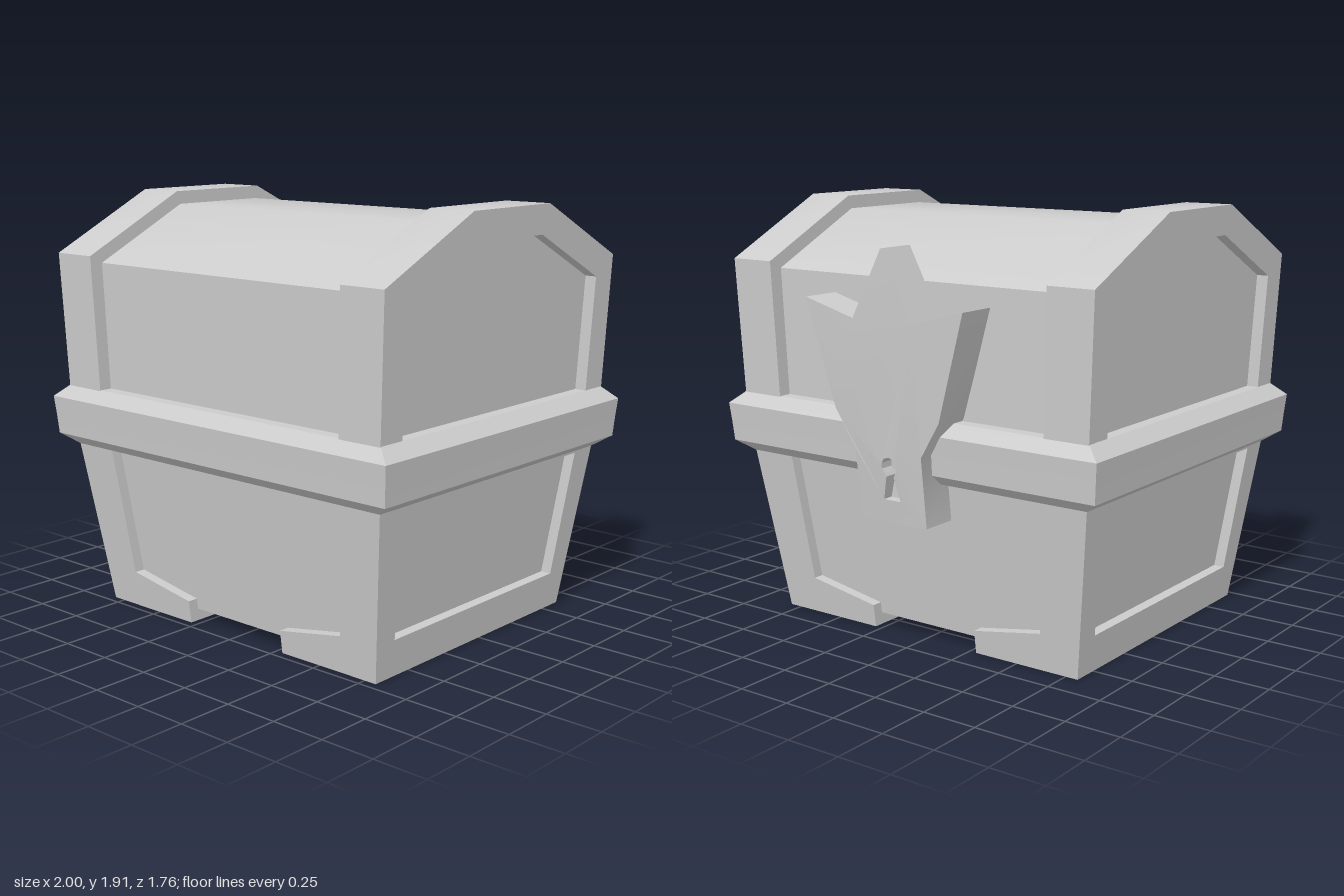
import * as THREE from 'three';
import { toCreasedNormals } from 'three/addons/utils/BufferGeometryUtils.js';

const material = new THREE.MeshStandardMaterial({ color: 0xcccccc });
const CENTRE_Z = 0.045;

function addMesh(parent, name, geometry, turn = 0) {
  const mesh = new THREE.Mesh(toCreasedNormals(geometry, 0.6), material);
  mesh.name = name;
  mesh.rotation.y = turn;
  parent.add(mesh);
  return mesh;
}

// Stack of rectangular sections, each [y, halfWidth, halfDepth].
function stack(sections) {
  const n = sections.length - 1;
  const geo = new THREE.BoxGeometry(2, n, 2, 1, n, 1);
  const p = geo.attributes.position;
  for (let i = 0; i < p.count; i++) {
    const [y, hx, hz] = sections[Math.round(p.getY(i) + n / 2)];
    p.setXYZ(i, p.getX(i) * hx, y, p.getZ(i) * hz);
  }
  return geo;
}

const points = (list) => list.map(([x, y]) => new THREE.Vector2(x, y));
// Completes a right-hand outline with its mirror image.
const mirrored = (half) => [...half, ...half.map(([x, y]) => [-x, y]).reverse()];

// Extruded outline whose inner and outer faces follow functions of height.
function slab(outline, holes, inner, outer) {
  const shape = new THREE.Shape(points(outline));
  holes.forEach((h) => shape.holes.push(new THREE.Path(points(h))));
  const geo = new THREE.ExtrudeGeometry(shape, { depth: 1, bevelEnabled: false });
  const p = geo.attributes.position;
  for (let i = 0; i < p.count; i++) {
    const y = p.getY(i);
    p.setZ(i, p.getZ(i) > 0.5 ? outer(y) : inner(y));
  }
  return geo;
}

function createBase() {
  const base = new THREE.Group();
  base.name = 'base';
  const inset = 0.05;
  const hx = (y) => 0.81 + 0.1 * (y / 0.76);
  const hz = (y) => 0.665 + 0.1 * (y / 0.76);
  addMesh(base, 'basePanels', stack([0.055, 0.78].map((y) => [y, hx(y) - inset, hz(y) - inset])));

  // Corner frames with stepped feet on the long faces
  const foot = [[0.285, 0], [0.81, 0], [0.91, 0.76], [0.685, 0.76], [0.635, 0.17], [0.285, 0.105]];
  for (const turn of [0, Math.PI]) {
    for (const s of [1, -1]) {
      const outline = foot.map(([x, y]) => [x * s, y]);
      addMesh(base, 'cornerFrame', slab(outline, [], (y) => hz(y) - 0.08, hz), turn);
    }
  }
  // Window frames on the short faces
  const side = mirrored([[0.665, 0], [0.765, 0.76]]);
  const window_ = mirrored([[0.572, 0.17], [0.629, 0.75]]);
  for (const s of [1, -1]) {
    addMesh(base, 'sideFrame', slab(side, [window_], (y) => hx(y) - 0.08, hx), s * Math.PI / 2);
    // Runner under each end
    const runner = new THREE.BoxGeometry(0.5, 0.1, 1.3);
    addMesh(base, 'footRunner', runner).position.set(s * 0.535, 0.05, 0);
  }
  return base;
}

function createLid() {
  const lid = new THREE.Group();
  lid.name = 'lid';
  const outer = (y) => 0.935 + 0.046 * (y - 1.04);
  const inner = (y) => 0.72 + 0.035 * (y - 1.04);
  const panel = (y) => outer(y) - 0.055;

  const barrel = mirrored([[0.73, 1.0], [0.742, 1.615], [0.25, 1.85]]);
  addMesh(lid, 'lidBarrel', slab(barrel, [], (y) => -panel(y), panel), Math.PI / 2);

  const cap = mirrored([[0.792, 1.0], [0.808, 1.65], [0.268, 1.91]]);
  const opening = mirrored([[0.66, 1.02], [0.678, 1.56], [0.225, 1.78]]);
  for (const s of [1, -1]) {
    addMesh(lid, 'lidEndFrame', slab(cap, [opening], inner, outer), s * Math.PI / 2);
  }
  return lid;
}

function createClasp() {
  const clasp = new THREE.Group();
  clasp.name = 'clasp';
  // Back face leans outward with height
  const outer = (y) => {
    if (y < 0.9) return 0.86 + 0.04 * (y - 0.585) / 0.315;
    return 0.9 + 0.025 * Math.min(1, (y - 0.9) / 0.63);
  };
  const inner = (y) => (y < 1 ? 0.665 : 0.735);

  // Keyhole: round top with a flared slot
  const keyhole = [[-0.045, 0.685], [0.045, 0.685], [0.02, 0.79]];
  for (let i = 0; i <= 8; i++) {
    const a = -0.9 + (i / 8) * (Math.PI + 1.8);
    keyhole.push([0.042 * Math.cos(a), 0.835 + 0.042 * Math.sin(a)]);
  }
  keyhole.push([-0.02, 0.79]);

  // Three-pointed plate narrowing into the lock
  const plate = [
    [0.175, 0.585], [0.18, 0.9], [0.28, 1.06], [0.42, 1.53], [0.16, 1.46], [0, 1.76],
    [-0.16, 1.46], [-0.42, 1.53], [-0.28, 1.06], [-0.18, 0.9], [-0.175, 0.585],
  ];
  addMesh(clasp, 'claspPlate', slab(plate, [keyhole], inner, outer));
  const back = new THREE.BoxGeometry(0.28, 0.3, 0.14);
  addMesh(clasp, 'keyholeBack', back).position.set(0, 0.77, 0.755);
  clasp.rotation.y = Math.PI;
  return clasp;
}

export function createModel() {
  const chest = new THREE.Group();
  chest.name = 'chest';
  chest.position.z = CENTRE_Z;
  chest.add(createBase(), createLid(), createClasp());

  // Bevelled band between base and lid
  addMesh(chest, 'rim', stack([
    [0.76, 0.91, 0.765], [0.81, 0.985, 0.825], [0.9, 0.992, 0.832],
    [0.985, 1.0, 0.84], [1.04, 0.935, 0.79],
  ]));

  const model = new THREE.Group();
  model.name = 'treasureChest';
  model.add(chest);
  return model;
}
